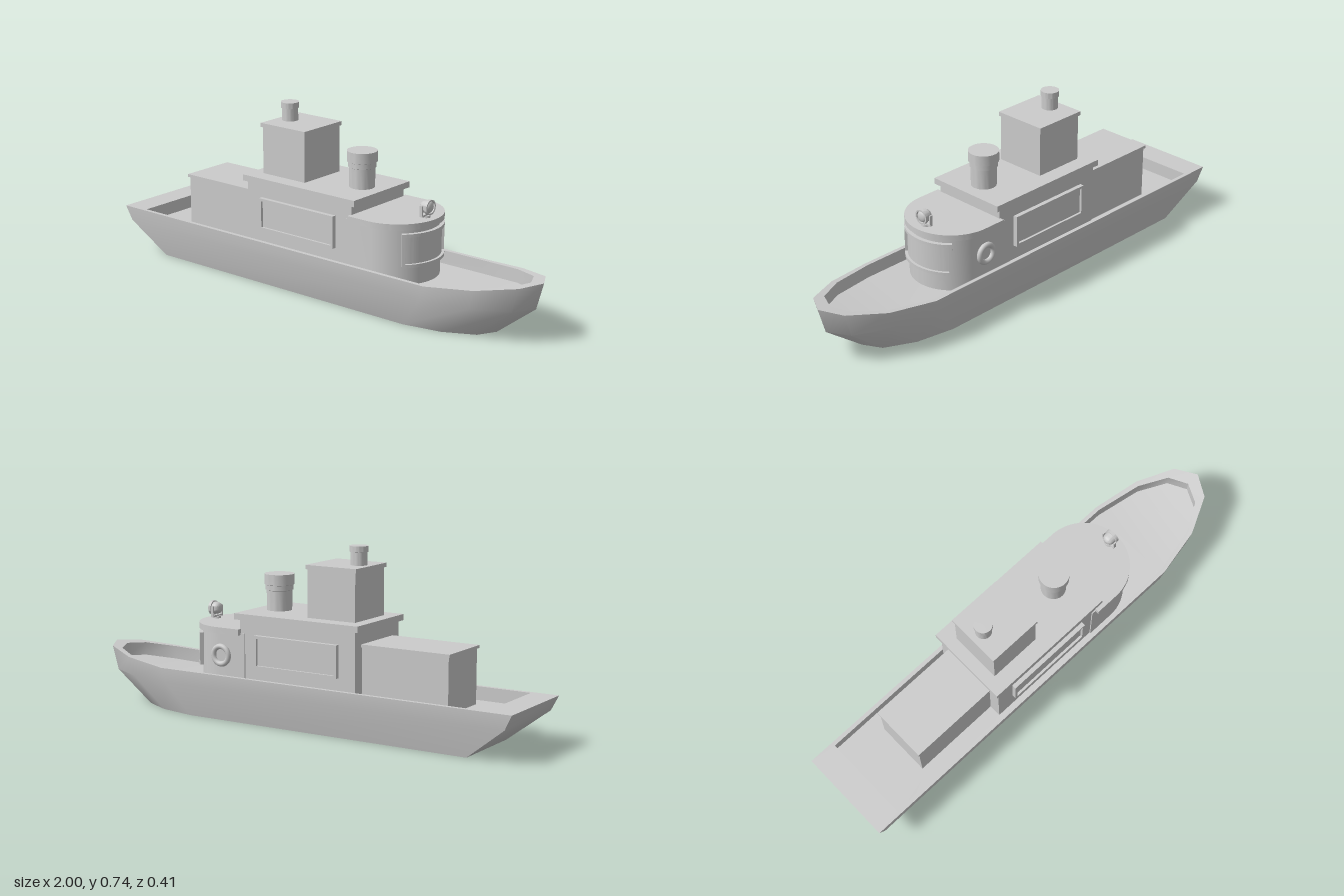
import * as THREE from 'three';
import { toCreasedNormals } from 'three/addons/utils/BufferGeometryUtils.js';

const material = new THREE.MeshStandardMaterial({ color: 0xcccccc });

function add(parent, name, geometry, x = 0, y = 0, z = 0) {
  const mesh = new THREE.Mesh(geometry, material);
  mesh.name = name;
  mesh.position.set(x, y, z);
  parent.add(mesh);
  return mesh;
}

// Box given by its extents in x and y and its half width in z
function block(parent, name, x0, x1, y0, y1, halfZ) {
  return add(parent, name, new THREE.BoxGeometry(x1 - x0, y1 - y0, halfZ * 2),
    (x0 + x1) / 2, (y0 + y1) / 2, 0);
}

// Plan shape raised from y0 to y1
function raise(parent, name, shape, y0, y1, x = 0) {
  const g = new THREE.ExtrudeGeometry(shape, { depth: y1 - y0, bevelEnabled: false, curveSegments: 28 });
  g.rotateX(-Math.PI / 2);
  return add(parent, name, toCreasedNormals(g, 0.5), x, y0, 0);
}

// Straight sides closed by a half circle at the front
function roundedPlan(x0, cx, r) {
  const s = new THREE.Shape();
  s.moveTo(x0, -r);
  s.lineTo(cx, -r);
  s.absarc(cx, 0, r, -Math.PI / 2, Math.PI / 2, false);
  s.lineTo(x0, r);
  s.closePath();
  return s;
}

function sector(r0, r1, a0, a1) {
  const s = new THREE.Shape();
  s.absarc(0, 0, r1, a0, a1, false);
  s.absarc(0, 0, r0, a1, a0, true);
  s.closePath();
  return s;
}

function lathe(points) {
  const g = new THREE.LatheGeometry(points.map(([r, y]) => new THREE.Vector2(r, y)), 40);
  return toCreasedNormals(g, 0.6);
}

const sheer = (x) => 0.192 + 0.048 * Math.pow(Math.max(0, (x - 0.6) / 0.4), 1.4);

// Hull: rings from the keel up the sides, over the rim and down to the deck
function hullGeometry() {
  const outer = [[-1, 0.203], [0.6, 0.203], [0.8, 0.165], [0.95, 0.09], [1, 0]];
  const inner = [[-0.89, 0.186], [0.6, 0.186], [0.79, 0.145], [0.905, 0.08], [0.943, 0]];
  const rings = [
    [outer, 0.8, 0.815, () => 0],
    [outer, 0.97, 0.975, () => 0.132],
    [outer, 1, 1, sheer],
    [inner, 1, 1, sheer],
    [inner, 1, 1, (x) => sheer(x) - 0.055],
  ];
  const n = 9, positions = [], index = [];
  for (const [half, sx, sz, height] of rings) {
    const mirrored = half.slice(0, -1).reverse().map(([x, z]) => [x, -z]);
    for (const [x, z] of [...half, ...mirrored]) positions.push(x * sx, height(x), z * sz);
  }
  const quad = (a, b, c, d) => index.push(a, b, c, a, c, d);
  for (let k = 0; k < rings.length - 1; k++) {
    for (let i = 0; i < n; i++) {
      const j = (i + 1) % n;
      quad(k * n + i, k * n + j, (k + 1) * n + j, (k + 1) * n + i);
    }
  }
  // Bottom and deck, as strips across the ship
  const top = (rings.length - 1) * n;
  for (let i = 0; i < 4; i++) {
    const a = i, b = i + 1, c = n - 2 - i, d = n - 1 - i;
    quad(d, c, b, a);
    quad(top + a, top + b, top + c, top + d);
  }
  const g = new THREE.BufferGeometry();
  g.setAttribute('position', new THREE.Float32BufferAttribute(positions, 3));
  g.setIndex(index);
  return toCreasedNormals(g.toNonIndexed(), 0.7);
}

// Rectangular frame with a recessed panel, on one side wall
function sidePanel(parent, side) {
  const group = new THREE.Group();
  group.name = 'sidePanel';
  const w = 0.385, h = 0.132, t = 0.011;
  const s = new THREE.Shape();
  const rect = (p, a, b) => {
    p.moveTo(-a, -b); p.lineTo(a, -b); p.lineTo(a, b); p.lineTo(-a, b); p.closePath();
  };
  rect(s, w / 2, h / 2);
  const hole = new THREE.Path();
  rect(hole, w / 2 - t, h / 2 - t);
  s.holes.push(hole);
  add(group, 'panelFrame', new THREE.ExtrudeGeometry(s, { depth: 0.02, bevelEnabled: false }));
  add(group, 'panelInset', new THREE.BoxGeometry(w - t, h - t, 0.01), 0, 0, 0.005);
  group.position.set(-0.047, 0.302, side * 0.163);
  if (side < 0) group.rotation.y = Math.PI;
  parent.add(group);
}

export function createModel() {
  const ship = new THREE.Group();
  ship.name = 'ship';
  add(ship, 'hull', hullGeometry());

  // Aft cabin
  block(ship, 'aftCabin', -0.693, -0.31, 0.13, 0.36, 0.114);
  block(ship, 'aftCabinRoof', -0.7, -0.31, 0.358, 0.37, 0.12);

  // Main cabin
  block(ship, 'mainCabin', -0.315, 0.225, 0.13, 0.43, 0.165);
  block(ship, 'mainCabinRoof', -0.331, 0.246, 0.424, 0.449, 0.176);
  for (const side of [1, -1]) sidePanel(ship, side);

  // Upper house and chimney
  block(ship, 'upperHouse', -0.28, -0.06, 0.445, 0.645, 0.109);
  block(ship, 'upperHouseRoof', -0.287, -0.055, 0.642, 0.659, 0.115);
  add(ship, 'chimney', lathe([[0.033, 0.655], [0.033, 0.71], [0.037, 0.711], [0.037, 0.735], [0, 0.735]]), -0.23);

  // Funnel with a stepped cap
  add(ship, 'funnel', lathe([[0.051, 0.445], [0.052, 0.53], [0.056, 0.532], [0.056, 0.552],
    [0.061, 0.554], [0.061, 0.597], [0, 0.597]]), 0.145);

  // Round-fronted wheelhouse
  const cx = 0.32;
  raise(ship, 'wheelhouse', roundedPlan(0.2, cx, 0.17), 0.13, 0.37);
  raise(ship, 'wheelhouseRoof', roundedPlan(0.22, cx, 0.185), 0.361, 0.386);

  // Curved front window
  const a = 0.81, b = 0.07;
  raise(ship, 'frontWindow', sector(0.165, 0.175, -a, a), 0.215, 0.34, cx);
  for (const y of [0.21, 0.332]) raise(ship, 'windowRail', sector(0.165, 0.186, -a, a), y, y + 0.013, cx);
  for (const start of [-a, a - b]) {
    raise(ship, 'windowPost', sector(0.165, 0.186, start, start + b), 0.215, 0.34, cx);
  }

  // Porthole on the right wall
  const porthole = new THREE.Group();
  porthole.name = 'porthole';
  add(porthole, 'portholeRing', new THREE.TorusGeometry(0.036, 0.011, 12, 40), 0, 0, 0.009);
  const glass = add(porthole, 'portholeGlass', new THREE.CylinderGeometry(0.034, 0.034, 0.012, 32));
  glass.rotation.x = Math.PI / 2;
  porthole.position.set(0.31, 0.272, -0.17);
  porthole.rotation.y = Math.PI;
  ship.add(porthole);

  // Searchlight on a forked stand
  const light = new THREE.Group();
  light.name = 'searchlight';
  add(light, 'standFoot', new THREE.CylinderGeometry(0.016, 0.018, 0.012, 24), 0, -0.04, 0);
  add(light, 'standBar', new THREE.BoxGeometry(0.014, 0.008, 0.066), 0, -0.032, 0);
  for (const side of [1, -1]) {
    add(light, 'standArm', new THREE.BoxGeometry(0.012, 0.045, 0.006), 0, -0.013, side * 0.031);
  }
  const lamp = add(light, 'lampBody', lathe([[0, -0.022], [0.012, -0.021], [0.021, -0.014],
    [0.025, -0.004], [0.025, 0.01], [0.03, 0.011], [0.03, 0.023], [0.024, 0.023], [0.024, 0.015], [0, 0.015]]));
  lamp.rotation.z = -Math.PI / 2;
  const lens = add(light, 'lampLens', new THREE.SphereGeometry(0.023, 24, 8, 0, Math.PI * 2, 0, Math.PI / 2), 0.015, 0, 0);
  lens.rotation.z = -Math.PI / 2;
  lens.scale.y = 0.5;
  light.position.set(0.46, 0.428, 0);
  ship.add(light);

  return ship;
}
